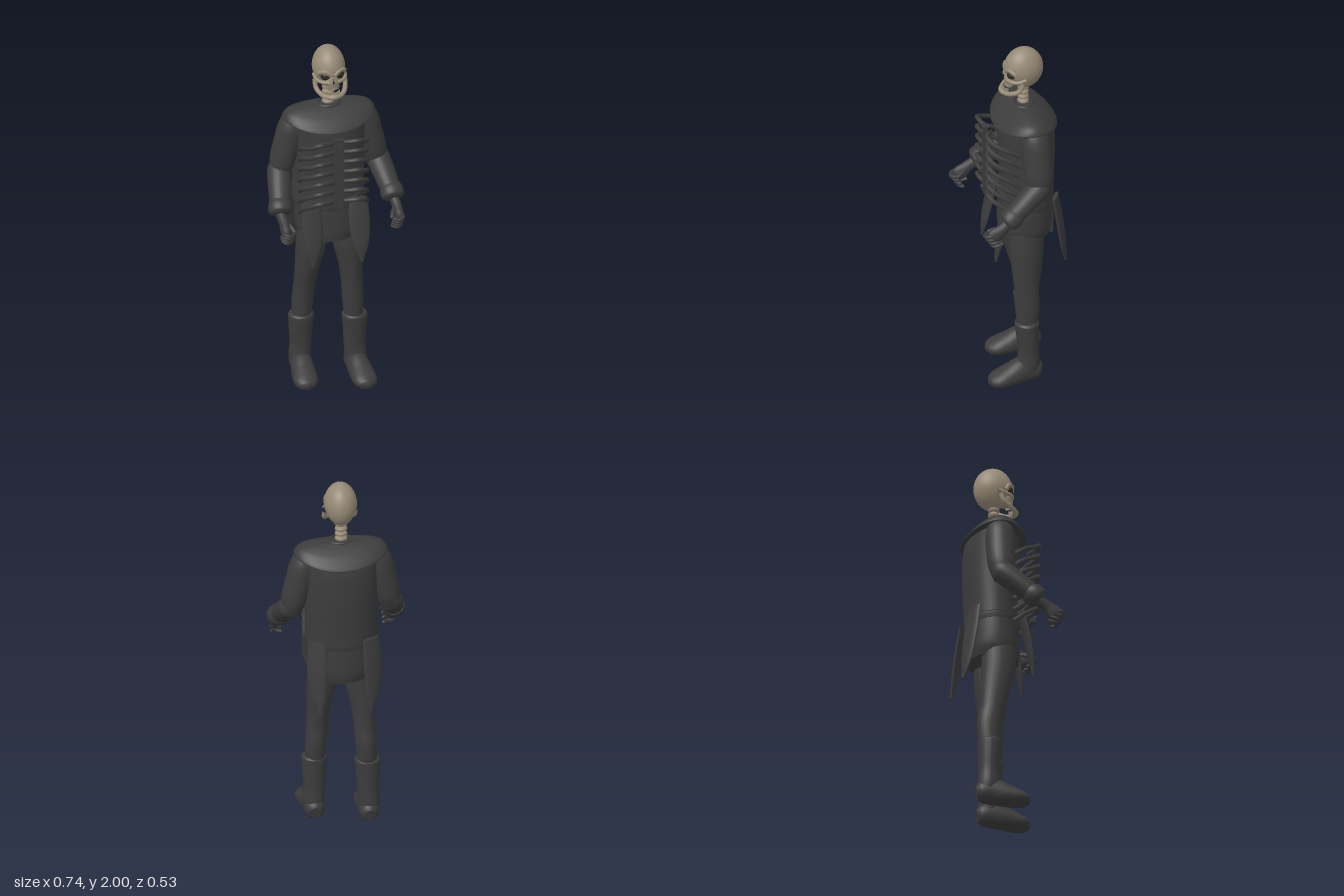
import * as THREE from 'three';

const V = (p) => new THREE.Vector3(p[0], p[1], p[2]);

// Smooth closed body through elliptical sections [x, y, z, rSide, rDepth]
function loft(sections, seg = 24, sub = 5) {
  const path = new THREE.CatmullRomCurve3(sections.map(V));
  const radii = new THREE.CatmullRomCurve3(sections.map((s) => new THREE.Vector3(s[3], s[4], 0)), false, 'catmullrom', 0.5);
  const n = (sections.length - 1) * sub;
  const pos = [], idx = [];
  for (let i = 0; i <= n; i++) {
    const u = i / n, c = path.getPoint(u), r = radii.getPoint(u);
    const t = path.getPoint(Math.min(1, u + 0.01)).sub(path.getPoint(Math.max(0, u - 0.01))).normalize();
    const s = new THREE.Vector3(1, 0, 0).addScaledVector(t, -t.x).normalize();
    const d = t.clone().cross(s);
    for (let j = 0; j < seg; j++) {
      const a = (j / seg) * Math.PI * 2;
      const p = c.clone().addScaledVector(s, Math.cos(a) * r.x).addScaledVector(d, Math.sin(a) * r.y);
      pos.push(p.x, p.y, p.z);
      if (i < n) {
        const k = i * seg + j, m = i * seg + (j + 1) % seg;
        idx.push(k, m, k + seg, m, m + seg, k + seg);
      }
    }
  }
  // End caps on their own vertices
  for (const end of [0, n]) {
    const base = pos.length / 3, c = path.getPoint(end / n);
    for (let j = 0; j < seg; j++) pos.push(...pos.slice((end * seg + j) * 3, (end * seg + j) * 3 + 3));
    pos.push(c.x, c.y, c.z);
    for (let j = 0; j < seg; j++) {
      const a = base + j, b = base + (j + 1) % seg;
      if (end === 0) idx.push(base + seg, b, a); else idx.push(base + seg, a, b);
    }
  }
  const g = new THREE.BufferGeometry();
  g.setAttribute('position', new THREE.Float32BufferAttribute(pos, 3));
  g.setIndex(idx);
  g.computeVertexNormals();
  return g;
}

// Move every vertex by a rule
function warp(g, rule) {
  const p = g.attributes.position, v = new THREE.Vector3();
  for (let i = 0; i < p.count; i++) {
    rule(v.fromBufferAttribute(p, i));
    p.setXYZ(i, v.x, v.y, v.z);
  }
  g.computeVertexNormals();
  return g;
}

const tube = (pts, r, n = 20) => new THREE.TubeGeometry(new THREE.CatmullRomCurve3(pts.map(V)), n, r, 8);

export function createModel() {
  const mat = (name, color) => Object.assign(new THREE.MeshStandardMaterial({ color }), { name });
  const bone = mat('bone', 0x968a76);
  const cloth = mat('charcoal cloth', 0x3c3c3c);
  const hollow = mat('dark hollow', 0x2b2a28);

  const model = new THREE.Group();
  model.name = 'skeletonFigure';
  const body = new THREE.Group();
  body.name = 'body';
  body.position.x = -0.015;
  model.add(body);
  const add = (name, geo, material, pos = [0, 0, 0], scale = [1, 1, 1]) => {
    const m = new THREE.Mesh(geo, material);
    m.name = name;
    m.position.set(...pos);
    m.scale.set(...scale);
    body.add(m);
    return m;
  };
  const ball = new THREE.SphereGeometry(1, 24, 16);

  // Skull: egg shape, narrowed and pulled back below the eyes
  add('cranium', warp(new THREE.SphereGeometry(1, 40, 28), (v) => {
    const low = Math.max(0, -v.y);
    v.x *= 0.087 * (1 - 0.12 * low);
    v.z = v.z * 0.105 - (v.z > 0 ? 0.045 * low * v.z : 0) - 0.068;
    v.y = 1.88 + v.y * 0.12;
  }), bone);
  add('upperJaw', loft([[0, 1.87, 0.0, 0.03, 0.035], [0, 1.835, 0.0, 0.045, 0.04], [0, 1.8, -0.005, 0.04, 0.038]]), bone);
  add('noseHollow', new THREE.ConeGeometry(0.013, 0.03, 3), hollow, [0, 1.845, 0.038], [1, 1, 0.5]);
  add('jawChin', ball, bone, [0, 1.757, 0.05], [0.035, 0.015, 0.018]);
  add('jawBone', tube([[-0.08, 1.83, -0.045], [-0.08, 1.785, -0.025], [-0.055, 1.76, 0.025], [0, 1.755, 0.055],
    [0.055, 1.76, 0.025], [0.08, 1.785, -0.025], [0.08, 1.83, -0.045]], 0.013, 40), bone);
  for (const s of [-1, 1]) {
    const socket = add('eyeSocket', ball, hollow, [s * 0.039, 1.868, 0.012], [0.026, 0.022, 0.018]);
    socket.rotation.set(0, s * 0.45, s * -0.15);
    add('brow', tube([[s * 0.006, 1.878, 0.032], [s * 0.035, 1.898, 0.024], [s * 0.068, 1.888, 0.0], [s * 0.073, 1.86, -0.015]], 0.011), bone);
    add('cheekbone', tube([[s * 0.02, 1.835, 0.032], [s * 0.052, 1.836, 0.02], [s * 0.077, 1.837, -0.015], [s * 0.084, 1.85, -0.06]], 0.01), bone);
  }
  // Teeth along both jaws
  for (let i = -4; i <= 4; i++) {
    const a = i * 0.27, x = Math.sin(a) * 0.038;
    const tooth = new THREE.BoxGeometry(0.009, 0.018, 0.007);
    add('upperTooth', tooth, bone, [x, 1.797, Math.cos(a) * 0.036 - 0.004]).rotation.y = a;
    add('lowerTooth', tooth, bone, [x, 1.773, Math.cos(a) * 0.04 + 0.01]).rotation.y = a;
  }
  // Neck vertebrae
  const disc = new THREE.LatheGeometry([[0, -0.015], [0.022, -0.014], [0.034, -0.006], [0.032, 0.004], [0.021, 0.015], [0, 0.016]]
    .map((p) => new THREE.Vector2(...p)), 16);
  for (let i = 0; i < 5; i++) add('vertebra', disc, bone, [-0.003, 1.645 + i * 0.029, -0.066], [1, 1, 0.9]);

  // Jacket, belt and shorts
  add('jacket', loft([[0, 1.1, -0.08, 0.193, 0.14], [0, 1.2, -0.083, 0.193, 0.14], [0, 1.35, -0.083, 0.197, 0.146],
    [0, 1.5, -0.078, 0.205, 0.147], [0, 1.58, -0.072, 0.21, 0.13], [0, 1.63, -0.07, 0.17, 0.08]], 40), cloth);
  add('belt', loft([[0, 1.065, -0.075, 0.183, 0.143], [0, 1.09, -0.075, 0.187, 0.147], [0, 1.125, -0.075, 0.187, 0.147]], 40), cloth);
  add('shorts', loft([[0, 1.1, -0.073, 0.18, 0.138], [0, 1.0, -0.072, 0.182, 0.142], [0, 0.92, -0.072, 0.176, 0.143],
    [0, 0.87, -0.07, 0.155, 0.135]], 40), cloth);
  // Shoulder cape, drooping at front and back
  add('shoulderCape', warp(loft([[0, 1.662, -0.068, 0.12, 0.045], [0, 1.652, -0.068, 0.18, 0.075], [0, 1.635, -0.068, 0.225, 0.12],
    [0, 1.605, -0.068, 0.248, 0.167], [0, 1.59, -0.068, 0.242, 0.16], [0, 1.575, -0.068, 0.19, 0.12]], 48), (v) => {
    v.y -= 0.04 * ((v.z + 0.068) / 0.167) ** 2;
  }), cloth);
  const collar = add('neckCollar', new THREE.TorusGeometry(0.058, 0.009, 8, 32), cloth, [0, 1.659, -0.066], [1, 0.8, 1]);
  collar.rotation.x = Math.PI / 2;

  // Sternum with buttons
  add('sternum', new THREE.BoxGeometry(0.048, 0.42, 0.022), cloth, [0, 1.34, 0.145]);
  for (let i = 0; i < 4; i++) {
    add('button', new THREE.CylinderGeometry(0.011, 0.011, 0.012, 12), cloth, [0, 1.515 - i * 0.117, 0.16]).rotation.x = Math.PI / 2;
  }

  for (const s of [-1, 1]) {
    // Ribs sweep forward and up from the flank, then curl in to the sternum
    for (let i = 0; i < 7; i++) {
      const y = 1.535 - i * 0.06, drop = 0.085 + i * 0.004;
      add('rib', tube([[s * 0.175, y - drop - 0.015, 0.0], [s * 0.175, y - drop * 0.7, 0.06], [s * 0.145, y - 0.025, 0.13],
        [s * 0.105, y, 0.156], [s * 0.06, y - 0.006, 0.145], [s * 0.018, y - 0.02, 0.115]], 0.0125, 28), cloth);
    }

    // Sleeves and cuff
    add('upperSleeve', loft([[s * 0.165, 1.61, -0.075, 0.05, 0.055], [s * 0.195, 1.54, -0.078, 0.073, 0.075], [s * 0.222, 1.44, -0.08, 0.073, 0.077],
      [s * 0.25, 1.33, -0.08, 0.067, 0.072], [s * 0.262, 1.25, -0.075, 0.05, 0.05]]), cloth);
    add('forearmSleeve', loft([[s * 0.26, 1.315, -0.115, 0.04, 0.035], [s * 0.267, 1.285, -0.08, 0.062, 0.06],
      [s * 0.288, 1.21, 0.01, 0.06, 0.056], [s * 0.308, 1.135, 0.1, 0.05, 0.048]]), cloth);
    add('cuff', loft([[s * 0.3, 1.17, 0.055, 0.055, 0.052], [s * 0.304, 1.152, 0.078, 0.063, 0.06], [s * 0.308, 1.13, 0.105, 0.06, 0.056],
      [s * 0.309, 1.122, 0.115, 0.04, 0.036]]), cloth);

    // Hand with curled fingers
    const hx = s * 0.31 + 0.007, hz = s < 0 ? 0.015 : 0;
    add('palm', loft([[s * 0.31, 1.12, 0.1, 0.026, 0.03], [hx, 1.09, 0.14 + hz, 0.026, 0.033],
      [hx, 1.057, 0.18 + hz, 0.026, 0.044], [hx, 1.035, 0.2 + hz, 0.016, 0.03]], 16), cloth);
    for (let k = 0; k < 4; k++) {
      const y = 1.075 - k * 0.022, z = 0.2 - k * 0.014 + hz;
      add('finger', tube([[hx + s * 0.01, y, z - 0.02], [hx + s * 0.012, y - 0.01, z + 0.018], [hx - s * 0.012, y - 0.017, z + 0.032],
        [hx - s * 0.034, y - 0.016, z + 0.015]], 0.0105, 12), cloth);
      add('fingertip', ball, cloth, [hx - s * 0.034, y - 0.016, z + 0.015], [0.0105, 0.0105, 0.0105]);
    }
    add('thumb', tube([[hx - s * 0.012, 1.085, 0.14 + hz], [hx - s * 0.03, 1.08, 0.17 + hz], [hx - s * 0.042, 1.065, 0.2 + hz]], 0.012, 10), cloth);
    add('thumbTip', ball, cloth, [hx - s * 0.042, 1.065, 0.2 + hz], [0.012, 0.012, 0.012]);

    // Pointed coat tails, front and back
    add('frontTail', loft([[s * 0.128, 1.125, 0.055, 0.05, 0.014], [s * 0.128, 1.0, 0.082, 0.057, 0.016],
      [s * 0.13, 0.87, 0.108, 0.044, 0.015], [s * 0.133, 0.765, 0.12, 0.006, 0.008]], 20), cloth);
    // Back tails angle round the hip
    add('backTail', warp(loft([[s * 0.142, 1.125, -0.2, 0.045, 0.014], [s * 0.148, 0.98, -0.225, 0.05, 0.016],
      [s * 0.145, 0.82, -0.245, 0.038, 0.015], [s * 0.135, 0.71, -0.258, 0.006, 0.008]], 20), (v) => {
      v.z += 0.45 * (Math.abs(v.x) - 0.142);
    }), cloth);

    // Legs: the left one stands further forward
    const f = s > 0 ? 0 : -0.07;
    add('trouserLeg', loft([[s * 0.09, 0.93, -0.06, 0.08, 0.09], [s * 0.1, 0.8, -0.055 + f * 0.1, 0.078, 0.092],
      [s * 0.115, 0.66, -0.052 + f * 0.45, 0.062, 0.078], [s * 0.122, 0.55, -0.05 + f * 0.75, 0.057, 0.066],
      [s * 0.128, 0.45, -0.052 + f * 0.95, 0.056, 0.066], [s * 0.135, 0.3, -0.05 + f, 0.05, 0.052]]), cloth);
    add('bootShaft', loft([[s * 0.136, 0.362, -0.047 + f, 0.058, 0.056], [s * 0.136, 0.35, -0.047 + f, 0.068, 0.064],
      [s * 0.138, 0.28, -0.05 + f, 0.064, 0.06], [s * 0.138, 0.18, -0.054 + f, 0.058, 0.055],
      [s * 0.142, 0.1, -0.055 + f, 0.058, 0.06], [s * 0.142, 0.04, -0.057 + f, 0.05, 0.058]]), cloth);
    const foot = loft([[s * 0.14, 0.045, -0.122 + f, 0.03, 0.035], [s * 0.14, 0.05, -0.1 + f, 0.05, 0.055],
      [s * 0.142, 0.06, -0.03 + f, 0.058, 0.075], [s * 0.147, 0.042, 0.05 + f, 0.065, 0.06],
      [s * 0.152, 0.028, 0.12 + f, 0.064, 0.042], [s * 0.153, 0.022, 0.155 + f, 0.042, 0.028], [s * 0.153, 0.02, 0.167 + f, 0.012, 0.012]]);
    add('bootFoot', warp(foot, (v) => { v.y = Math.max(0, v.y); }), cloth);
  }
  return model;
}
